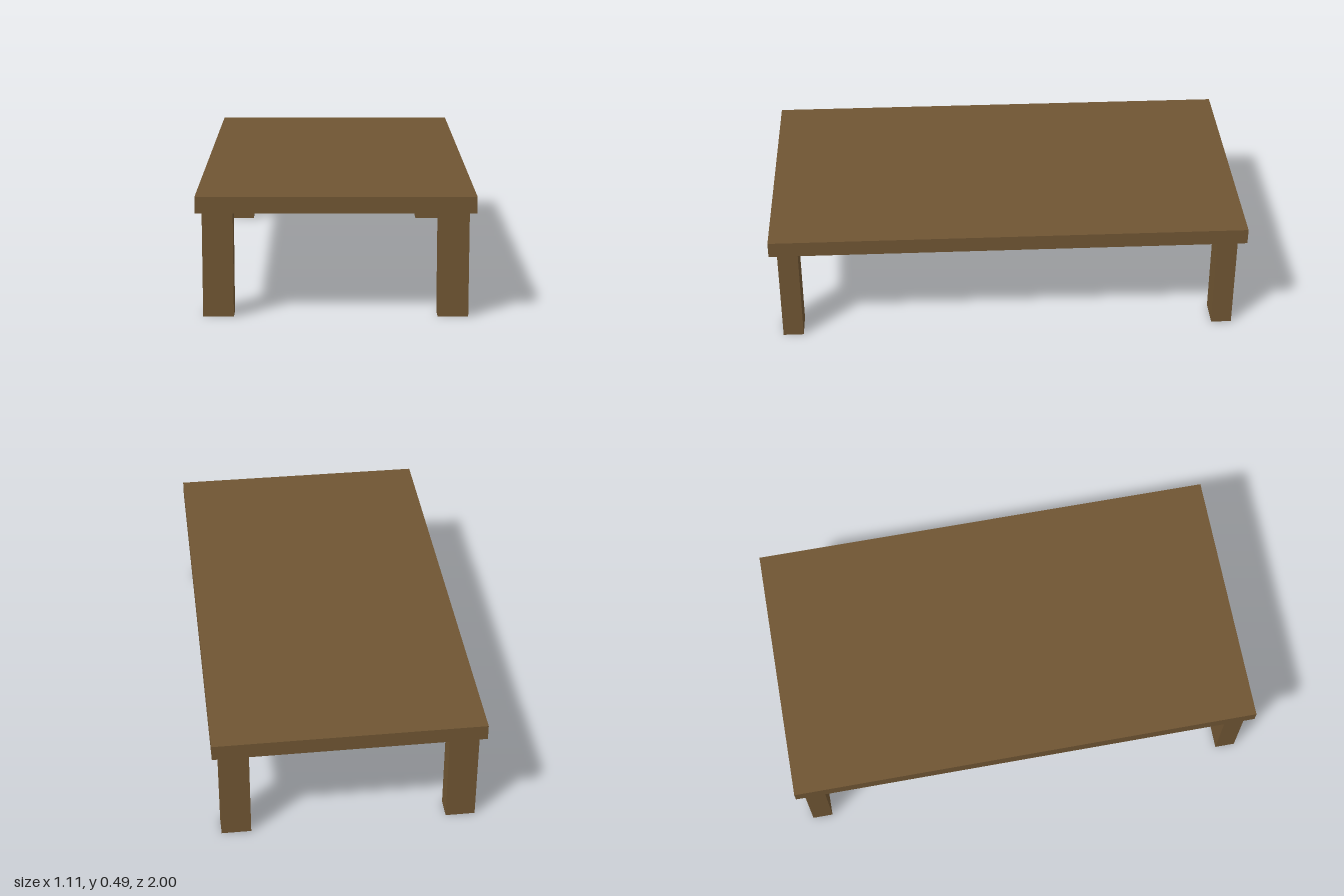
import * as THREE from 'three';

export function createModel() {
  const group = new THREE.Group();
  const wood = new THREE.MeshStandardMaterial({ color: 0x6f5533 });
  wood.name = 'brown wood';

  const TOP = 0.492, UNDERSIDE = 0.426;

  // Adds a box standing on the given base height
  function addBox(name, w, h, d, x, base, z) {
    const mesh = new THREE.Mesh(new THREE.BoxGeometry(w, h, d), wood);
    mesh.name = name;
    mesh.position.set(x, base + h / 2, z);
    group.add(mesh);
  }

  // Table top
  addBox('tableTop', 1.106, TOP - UNDERSIDE, 2, 0, UNDERSIDE, 0);

  // Four legs, set in slightly from the corners
  for (const [side, x] of [['Left', 0.465], ['Right', -0.467]]) {
    for (const [end, z] of [['front', 0.925], ['back', -0.922]]) {
      addBox(`${end}${side}Leg`, 0.122, UNDERSIDE, 0.086, x, 0, z);
    }
  }

  return group;
}
